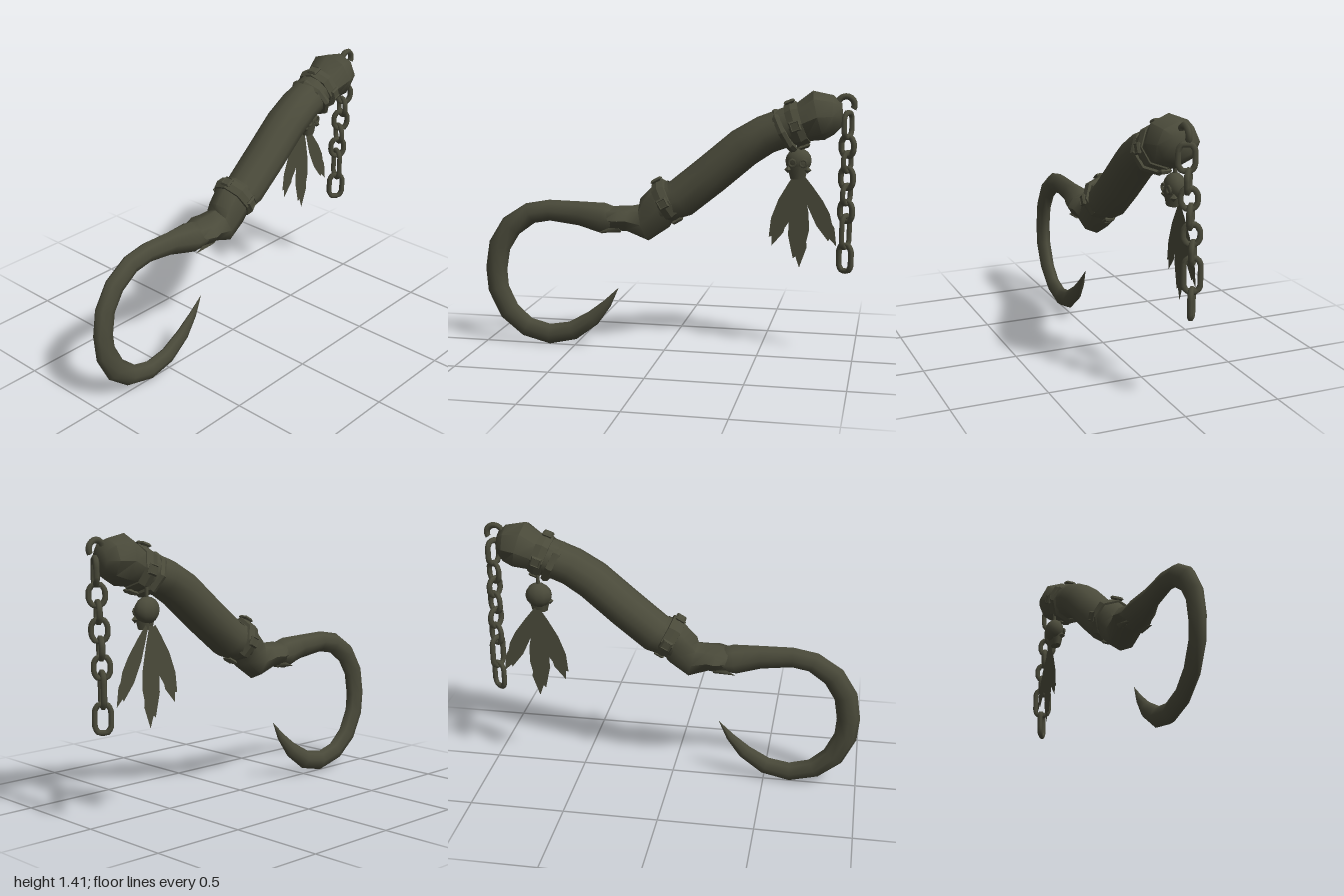
import * as THREE from 'three';
import { toCreasedNormals } from 'three/addons/utils/BufferGeometryUtils.js';

const iron = new THREE.MeshStandardMaterial({ color: 0x4a4a3a, side: THREE.DoubleSide });
iron.name = 'dark iron';
const V = (x, y, z) => new THREE.Vector3(x, y, z);
const X = V(1, 0, 0);

// Sweeps an n-sided section along rows of [z, y, radius in plane, radius across x];
// a power over 1 sharpens the ridges in the plane of the sweep
function sweep(rows, n, power = 1) {
  const pos = [], idx = [];
  const c = rows.map(r => V(0, r[1], r[0]));
  rows.forEach((r, i) => {
    const t = c[Math.min(i + 1, rows.length - 1)].clone().sub(c[Math.max(i - 1, 0)]).normalize();
    const nrm = t.clone().cross(X);
    for (let j = 0; j < n; j++) {
      const a = j / n * Math.PI * 2, s = Math.sin(a);
      const p = c[i].clone().addScaledVector(nrm, Math.cos(a) * r[2])
        .addScaledVector(X, Math.sign(s) * Math.abs(s) ** power * r[3]);
      pos.push(p.x, p.y, p.z);
      if (i < rows.length - 1) {
        const k = (j + 1) % n, A = i * n + j, B = A + n, C = (i + 1) * n + k, D = i * n + k;
        idx.push(A, B, C, A, C, D);
      }
    }
  });
  const g = new THREE.BufferGeometry();
  g.setAttribute('position', new THREE.Float32BufferAttribute(pos, 3));
  g.setIndex(idx);
  g.computeVertexNormals();
  return g;
}

function add(parent, name, geo) {
  const m = new THREE.Mesh(geo, iron);
  m.name = name;
  parent.add(m);
  return m;
}

// Faceted ring round the handle; profile holds [offset along axis, radius]
function ring(parent, name, z, y, angle, profile) {
  const dz = -Math.cos(angle), dy = Math.sin(angle);
  const rows = profile.map(([o, r]) => [z + dz * o, y + dy * o, r * 0.97, r]);
  return add(parent, name, toCreasedNormals(sweep(rows, 8), 0.5));
}

// Square frame studs on four sides of a collar
function studs(parent, z, y, angle, radius) {
  const t = V(0, Math.sin(angle), -Math.cos(angle)), up = t.clone().cross(X);
  for (let i = 0; i < 4; i++) {
    const a = i * Math.PI / 2;
    const out = up.clone().multiplyScalar(Math.cos(a)).addScaledVector(X, Math.sin(a));
    const g = new THREE.Group();
    g.name = 'collarStud';
    g.applyMatrix4(new THREE.Matrix4().makeBasis(t.clone().cross(out), t, out)
      .setPosition(V(0, y, z).addScaledVector(out, radius)));
    const frame = add(g, 'studFrame', new THREE.TorusGeometry(0.03, 0.01, 4, 4).toNonIndexed());
    frame.geometry.computeVertexNormals();
    frame.rotation.z = Math.PI / 4;
    add(g, 'studCore', new THREE.BoxGeometry(0.036, 0.036, 0.012));
    parent.add(g);
  }
}

// Oval chain link of half height h, standing upright in the yz plane
function linkGeometry(h) {
  const w = 0.038, e = h - 0.015, s = e - 0.027;
  const pts = [[w, -s], [w, s], [w * 0.55, e], [-w * 0.55, e], [-w, s], [-w, -s], [-w * 0.55, -e], [w * 0.55, -e]];
  const curve = new THREE.CatmullRomCurve3(pts.map(p => V(0, p[1], p[0])), true, 'catmullrom', 0.2);
  return new THREE.TubeGeometry(curve, 24, 0.015, 6, true);
}

export function createModel() {
  const root = new THREE.Group();
  root.name = 'hookedWeapon';

  // Curved hook, ridged along its inner and outer edges, tapering to a point
  add(root, 'hook', sweep([
    [0.2, 0.705, 0, 0], [0.24, 0.705, 0.06, 0.09], [0.33, 0.712, 0.084, 0.085], [0.46, 0.733, 0.066, 0.05],
    [0.63, 0.745, 0.057, 0.046], [0.74, 0.725, 0.058, 0.045], [0.85, 0.65, 0.062, 0.044],
    [0.918, 0.54, 0.062, 0.043], [0.939, 0.41, 0.061, 0.042], [0.93, 0.3, 0.061, 0.042],
    [0.87, 0.175, 0.061, 0.041], [0.77, 0.09, 0.057, 0.04], [0.64, 0.056, 0.056, 0.039],
    [0.51, 0.082, 0.052, 0.037], [0.395, 0.158, 0.042, 0.031], [0.315, 0.243, 0.024, 0.018], [0.25, 0.335, 0, 0],
  ], 8, 1.6));

  // Socket gripping the hook, with a flared lip and heel
  add(root, 'socket', toCreasedNormals(sweep([
    [0.32, 0.712, 0.06, 0.07], [0.235, 0.715, 0.068, 0.108], [0.19, 0.715, 0.07, 0.094],
    [0.11, 0.697, 0.1, 0.092], [0.05, 0.752, 0.108, 0.096], [0, 0.815, 0.1, 0.105],
    [-0.06, 0.845, 0.09, 0.1],
  ], 8), 0.9));
  for (const s of [-1, 1]) {
    const prong = add(root, 'socketProng', new THREE.ConeGeometry(0.025, 0.12, 4));
    prong.position.set(s * 0.06, 0.66, 0.285);
    prong.rotation.x = Math.PI / 2 + 0.25;
  }

  // Bent handle and swollen pommel
  add(root, 'handle', sweep([
    [0.02, 0.79, 0.09, 0.1], [-0.09, 0.835, 0.105, 0.107], [-0.25, 0.965, 0.105, 0.11],
    [-0.42, 1.11, 0.104, 0.11], [-0.53, 1.178, 0.1, 0.108], [-0.68, 1.235, 0.1, 0.105],
  ], 12));
  add(root, 'pommel', toCreasedNormals(sweep([
    [-0.63, 1.215, 0.1, 0.104], [-0.72, 1.245, 0.102, 0.108], [-0.8, 1.282, 0.128, 0.132],
    [-0.875, 1.285, 0.1, 0.108], [-0.915, 1.285, 0.06, 0.06], [-0.92, 1.285, 0, 0],
  ], 8), 0.8));

  // Collars, neck ring and studs
  const collar = [[-0.036, 0.095], [-0.034, 0.115], [0, 0.125], [0.034, 0.115], [0.036, 0.095]];
  ring(root, 'lowerCollar', -0.015, 0.82, 0.5, collar);
  studs(root, -0.015, 0.82, 0.5, 0.12);
  ring(root, 'upperCollar', -0.69, 1.235, 0.35, collar);
  studs(root, -0.69, 1.235, 0.35, 0.12);
  ring(root, 'neckRing', -0.625, 1.2, 0.48, [[-0.022, 0.095], [-0.018, 0.118], [0, 0.126], [0.018, 0.118], [0.022, 0.095]]);

  // Hook eye on the pommel and hanging chain of alternating links
  const eye = add(root, 'chainEye', new THREE.TorusGeometry(0.042, 0.016, 6, 12, Math.PI * 1.35));
  eye.position.set(0, 1.338, -0.935);
  eye.rotation.set(0, Math.PI / 2, -0.5);
  const chain = new THREE.Group();
  chain.name = 'chain';
  const links = [[1.235, 0.075], [1.125, 0.062], [1.045, 0.06], [0.96, 0.064], [0.875, 0.06], [0.785, 0.064], [0.68, 0.095], [0.54, 0.082]];
  links.forEach(([y, h], i) => {
    const m = add(chain, 'chainLink', linkGeometry(h));
    m.position.set(-0.045 * Math.min(1, (1.3 - y) / 0.5), y, -0.947);
    m.rotation.y = i % 2 ? -0.6 : 1.1;
  });
  root.add(chain);

  // Small skull charm hanging beside the centre line, facing +x
  const skull = new THREE.Group();
  skull.name = 'skullCharm';
  skull.position.set(-0.075, 1.03, -0.695);
  const cranium = add(skull, 'cranium', new THREE.SphereGeometry(0.07, 10, 8));
  cranium.scale.set(0.75, 0.95, 1);
  cranium.position.y = 0.008;
  const jaw = add(skull, 'jaw', new THREE.CylinderGeometry(0.058, 0.04, 0.07, 7));
  jaw.scale.x = 0.7;
  jaw.position.set(0.012, -0.05, 0);
  for (const s of [-1, 1]) {
    const socket = add(skull, 'eyeRim', new THREE.TorusGeometry(0.018, 0.007, 5, 8));
    socket.position.set(0.046, 0, s * 0.028);
    socket.rotation.y = Math.PI / 2;
    const cheek = add(skull, 'cheek', new THREE.OctahedronGeometry(0.02));
    cheek.position.set(0.03, -0.035, s * 0.05);
  }
  const cord = add(skull, 'cord', new THREE.CylinderGeometry(0.01, 0.01, 0.1, 6));
  cord.position.y = 0.1;
  root.add(skull);

  // Three ragged feathers fanned below the skull: [x, turn, length, half width]
  for (const [x, turn, len, w] of [[-0.115, 0.33, 0.41, 0.05], [-0.105, -0.01, 0.5, 0.056], [-0.09, -0.46, 0.42, 0.046]]) {
    const shape = new THREE.Shape([
      [0.2, 0], [0.6, 0.2], [0.95, 0.42], [1, 0.6], [0.75, 0.72], [0.8, 0.78], [0.1, 1],
      [-0.25, 0.88], [-0.5, 0.9], [-0.95, 0.66], [-0.9, 0.4], [-0.5, 0.15], [-0.2, 0],
    ].map(([a, b]) => new THREE.Vector2(a * w, -b * len)));
    const f = add(root, 'feather', new THREE.ShapeGeometry(shape));
    f.rotation.order = 'YZX';
    f.rotation.set(0, Math.PI / 2, -turn);
    f.position.set(x, 0.965, -0.695 + turn * 0.03);
  }
  return root;
}
